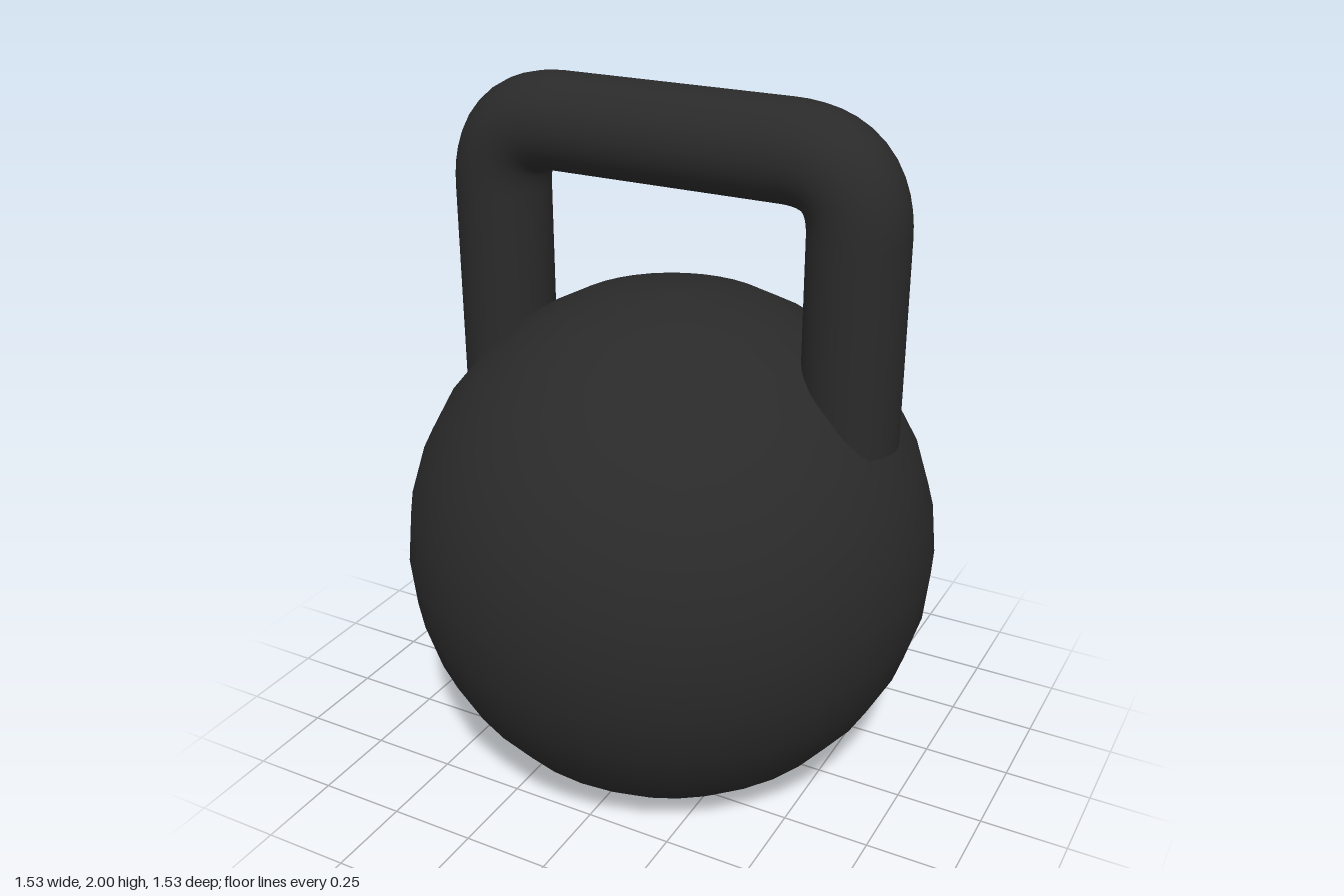
import * as THREE from 'three';

export function createModel() {
  const group = new THREE.Group();
  const iron = new THREE.MeshStandardMaterial({ color: 0x2a2a2a });
  iron.name = 'blackIron';

  const add = (name, geometry) => {
    const mesh = new THREE.Mesh(geometry, iron);
    mesh.name = name;
    group.add(mesh);
    return mesh;
  };

  // Ball: a sphere profile, flattened where it would dip below the floor
  const radius = 0.765, centerY = 0.68, rings = 16;
  const profile = [new THREE.Vector2(0, 0)];
  for (let i = 2; i <= rings; i++) {
    const a = (i / rings) * Math.PI;
    profile.push(new THREE.Vector2(
      i === rings ? 0 : radius * Math.sin(a),
      Math.max(0, centerY - radius * Math.cos(a))
    ));
  }
  add('ball', new THREE.LatheGeometry(profile, 36));

  // Handle: two legs and a grip joined by rounded corners
  const legX = 0.537, gripY = 1.865, footY = 1.1, tube = 0.135, bend = 0.2;
  const p = (x, y) => new THREE.Vector3(x, y, 0);
  const parts = [
    ['leftLeg', new THREE.LineCurve3(p(legX, footY), p(legX, gripY - bend)), 1],
    ['leftCorner', new THREE.QuadraticBezierCurve3(
      p(legX, gripY - bend), p(legX, gripY), p(legX - bend, gripY)), 12],
    ['grip', new THREE.LineCurve3(p(legX - bend, gripY), p(bend - legX, gripY)), 1],
    ['rightCorner', new THREE.QuadraticBezierCurve3(
      p(bend - legX, gripY), p(-legX, gripY), p(-legX, gripY - bend)), 12],
    ['rightLeg', new THREE.LineCurve3(p(-legX, gripY - bend), p(-legX, footY)), 1],
  ];
  for (const [name, curve, steps] of parts) {
    add(name, new THREE.TubeGeometry(curve, steps, tube, 32, false));
  }

  // Flat ends of the legs, facing down
  for (const side of [1, -1]) {
    const cap = add(side > 0 ? 'leftLegEnd' : 'rightLegEnd', new THREE.CircleGeometry(tube, 32));
    cap.rotation.x = Math.PI / 2;
    cap.position.set(side * legX, footY, 0);
  }
  return group;
}
